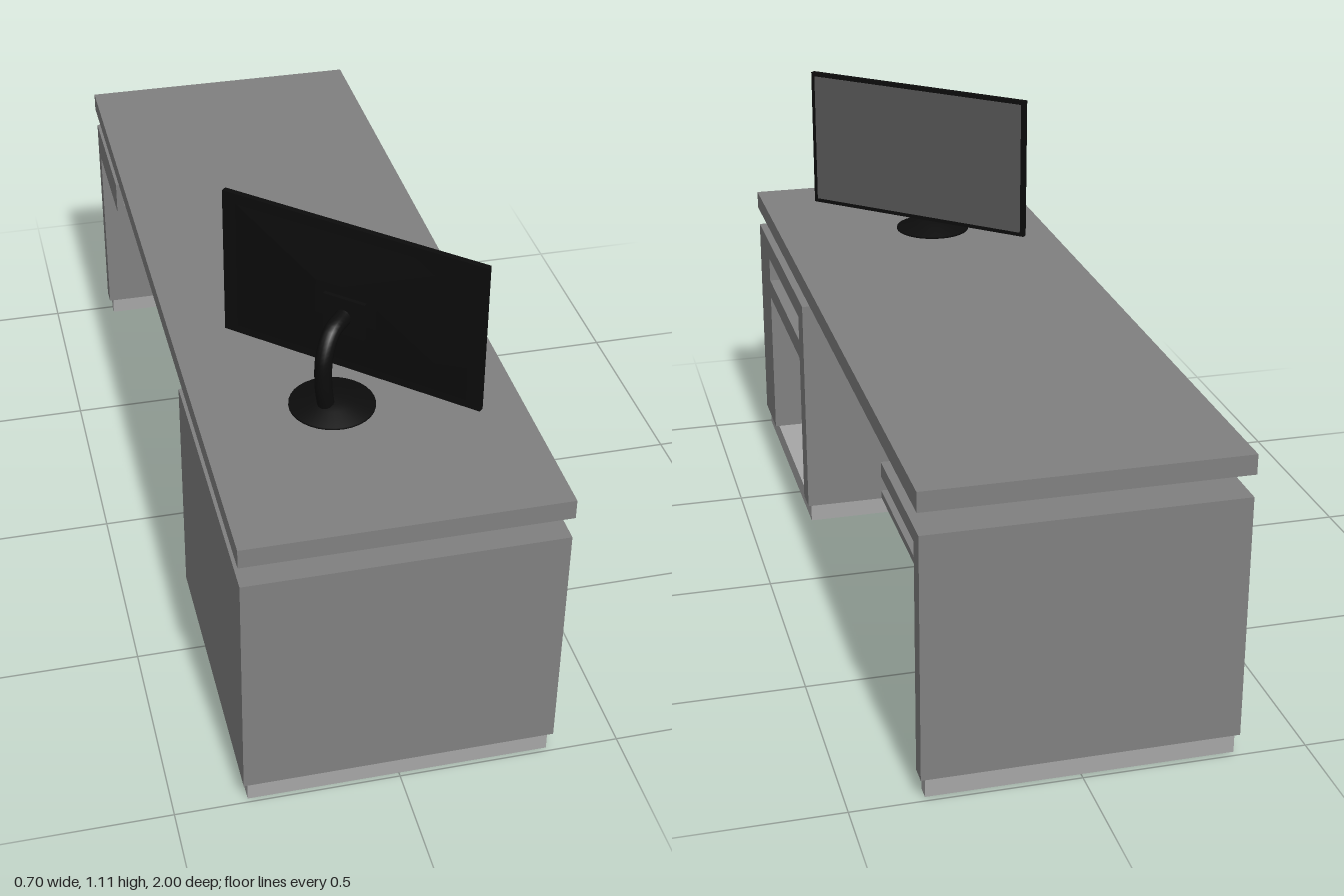
import * as THREE from 'three';

const mat = (color, side = THREE.FrontSide) => new THREE.MeshStandardMaterial({ color, side });

export function createModel() {
  const model = new THREE.Group();
  const body = mat(0x808080), trim = mat(0xa6a6a6), light = mat(0xcccccc);
  const black = mat(0x0c0c0c), glass = mat(0x585858);

  const add = (parent, name, geometry, material) => {
    const mesh = new THREE.Mesh(geometry, material);
    mesh.name = name;
    parent.add(mesh);
    return mesh;
  };
  // Box given by its lower and upper limits on each axis
  const box = (parent, name, material, x0, x1, y0, y1, z0, z1) =>
    add(parent, name, new THREE.BoxGeometry(x1 - x0, y1 - y0, z1 - z0), material)
      .position.set((x0 + x1) / 2, (y0 + y1) / 2, (z0 + z1) / 2);

  // Tabletop on two short risers
  box(model, 'tabletop', body, -0.351, 0.351, 0.66, 0.705, -1, 1);
  for (const z of [0.672, -0.828])
    box(model, 'riser', trim, -0.104, 0.087, 0.61, 0.66, z - 0.02, z + 0.02);

  // Cabinet: side outline (shape x is -z) with a drawer slot and an open bay, closed at the back
  const cabinet = new THREE.Group();
  cabinet.name = 'cabinet';
  model.add(cabinet);
  const outline = new THREE.Shape([
    [-1, 0.05], [-0.84, 0.05], [-0.84, 0.445], [-0.37, 0.445], [-0.37, 0.05],
    [-0.305, 0.05], [-0.305, 0.61], [-1, 0.61],
  ].map(([x, y]) => new THREE.Vector2(x, y)));
  outline.holes.push(new THREE.Path([
    [-0.84, 0.495], [-0.84, 0.56], [-0.37, 0.56], [-0.37, 0.495],
  ].map(([x, y]) => new THREE.Vector2(x, y))));
  const shell = new THREE.ExtrudeGeometry(outline, { depth: 0.678, bevelEnabled: false });
  shell.rotateY(Math.PI / 2).translate(-0.33, 0, 0);
  add(cabinet, 'cabinetShell', shell, body);
  box(cabinet, 'cabinetBack', body, -0.348, -0.33, 0.05, 0.61, 0.305, 1);
  box(cabinet, 'plinth', trim, -0.338, 0.338, 0, 0.05, 0.32, 0.99);

  // Panel leg with its foot
  box(model, 'panelLeg', body, -0.348, 0.348, 0.05, 0.61, -1, -0.957);
  box(model, 'legFoot', trim, -0.338, 0.338, 0.005, 0.05, -0.993, -0.964);

  // Shallow shelf beside the leg
  box(model, 'shelfTop', body, -0.348, 0.348, 0.576, 0.61, -0.957, -0.65);
  box(model, 'shelfBottom', body, -0.348, 0.348, 0.528, 0.544, -0.957, -0.65);
  box(model, 'shelfBack', body, -0.348, -0.33, 0.544, 0.576, -0.957, -0.65);

  // Slatted screen between cabinet and leg
  const screen = new THREE.Group();
  screen.name = 'modestyScreen';
  model.add(screen);
  for (const [z0, z1] of [[0.285, 0.305], [-0.957, -0.932]])
    box(screen, 'screenPost', trim, 0.1, 0.13, 0.318, 0.528, z0, z1);
  for (const y of [0.318, 0.387, 0.455, 0.52])
    box(screen, 'screenRail', trim, 0.1, 0.13, y, y + 0.01, -0.932, 0.285);
  for (const y of [0.328, 0.397, 0.465])
    box(screen, 'slat', light, 0.107, 0.123, y, y + 0.058, -0.932, 0.285);

  // Monitor, turned on the desk; its own +z is the viewing side
  const monitor = new THREE.Group();
  monitor.name = 'monitor';
  monitor.position.set(0, 0, 0.508);
  monitor.rotation.y = 2.39;
  model.add(monitor);
  box(monitor, 'bezel', black, -0.316, 0.316, 0.755, 1.11, -0.007, 0.007);
  box(monitor, 'display', glass, -0.306, 0.306, 0.765, 1.1, 0.006, 0.008);

  // Tapered housing behind the panel
  const housing = new THREE.CylinderGeometry(0.1, 0.38, 0.018, 4, 1);
  housing.rotateY(Math.PI / 4).rotateX(-Math.PI / 2).scale(1.05, 0.58, 1);
  add(monitor, 'rearHousing', housing, black).position.set(0, 0.93, -0.016);
  housing.computeVertexNormals();
  box(monitor, 'mountPlate', black, -0.05, 0.05, 0.86, 0.95, -0.035, -0.02);

  // Round domed base and curved neck
  const profile = [[0, 0.705], [0.095, 0.705], [0.095, 0.71], [0.05, 0.72], [0.035, 0.728], [0, 0.73]];
  const base = new THREE.LatheGeometry(profile.map(([r, y]) => new THREE.Vector2(r, y)), 32);
  add(monitor, 'standBase', base, black).position.set(0, 0, -0.079);
  const path = new THREE.CatmullRomCurve3([
    [0.715, -0.105], [0.78, -0.118], [0.85, -0.115], [0.895, -0.085], [0.905, -0.03],
  ].map(([y, z]) => new THREE.Vector3(0, y, z)));
  add(monitor, 'standNeck', new THREE.TubeGeometry(path, 24, 0.019, 12), black);

  return model;
}
